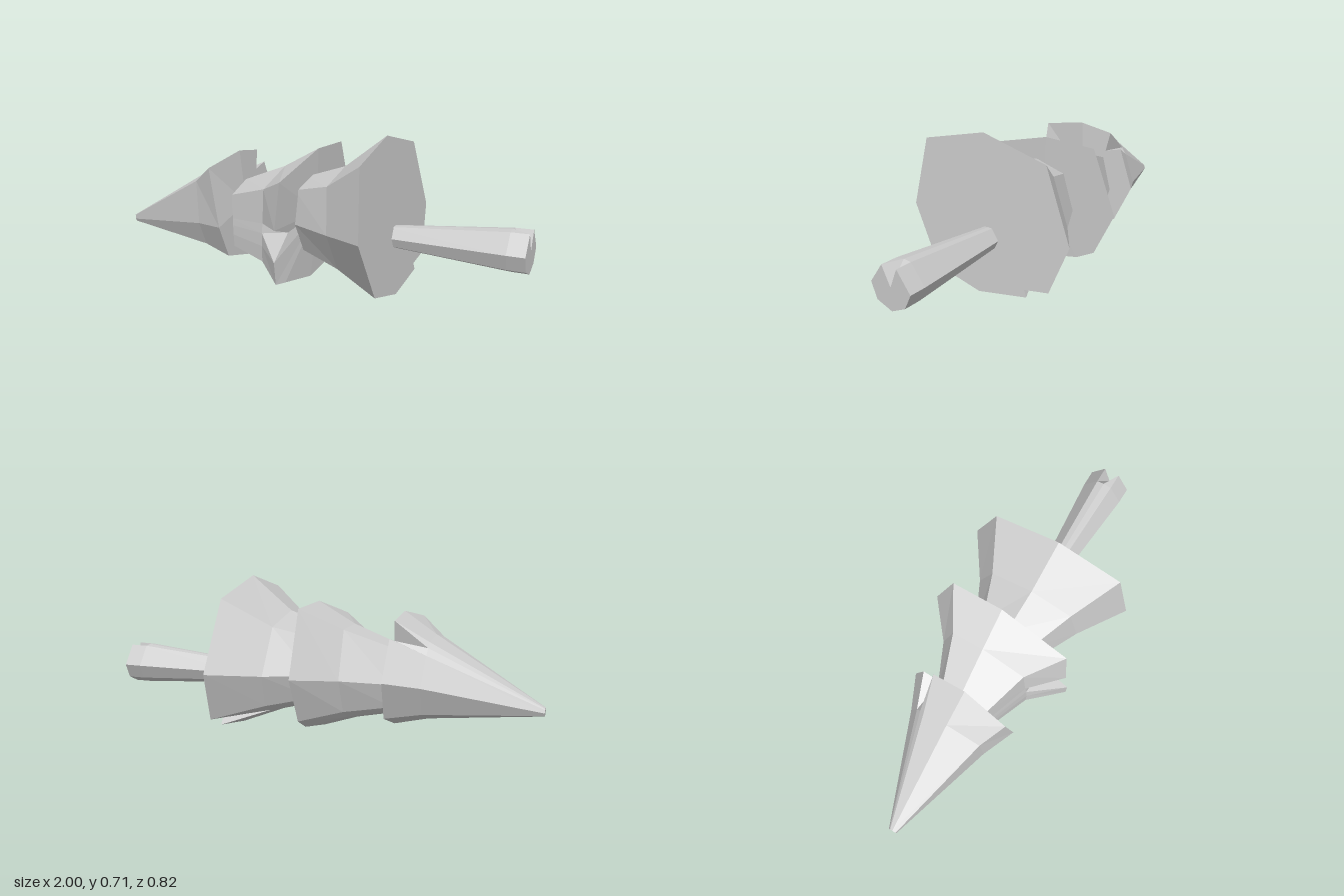
import * as THREE from 'three';

const material = new THREE.MeshStandardMaterial({ color: 0xcccccc, flatShading: true, side: THREE.DoubleSide });

// Lofts a rim outline along x. rim: [z, y, inset, dx] about a centre, clockwise seen from +x.
// ring: [x, centreY, centreZ, scale, extra z scale]; the last ring applies inset (cuts a notch)
// and dx (bends the rim). lean tilts the rings so that they sit further back near the ground.
function loft(name, rim, [rimY, rimZ], rings, lean = 0) {
  const n = rim.length;
  const points = [];
  const index = [];
  rings.forEach(([x, cy, cz, s, zs = 1], i) => {
    const end = i === rings.length - 1 ? 1 : 0;
    for (const [z, y, inset = 0, dx = 0] of rim) {
      const k = s * (1 - inset * end);
      const dy = (y - rimY) * k;
      points.push(x - lean * dy + dx * end, cy + dy, cz + (z - rimZ) * k * zs);
    }
  });
  for (let i = 0; i < rings.length - 1; i++) {
    for (let j = 0; j < n; j++) {
      const a = i * n + j, b = i * n + (j + 1) % n;
      index.push(a, a + n, b, b, a + n, b + n);
    }
  }
  // End caps
  const last = (rings.length - 1) * n;
  const first = points.length / 3;
  for (const [x, y, z] of [rings[0], rings[rings.length - 1]]) points.push(x, y, z);
  for (let j = 0; j < n; j++) {
    const k = (j + 1) % n;
    index.push(first, j, k, first + 1, last + k, last + j);
  }
  const indexed = new THREE.BufferGeometry();
  indexed.setAttribute('position', new THREE.Float32BufferAttribute(points, 3));
  indexed.setIndex(index);
  const geometry = indexed.toNonIndexed();
  geometry.computeVertexNormals();
  const mesh = new THREE.Mesh(geometry, material);
  mesh.name = name;
  return mesh;
}

export function createModel() {
  const group = new THREE.Group();
  group.name = 'fallenPineTree';

  // Pointed crown with a notch at its upper back
  group.add(loft('topBranches', [
    [0.02, 0.575], [-0.14, 0.55], [-0.17, 0.52, 0.3], [-0.2, 0.48], [-0.27, 0.3],
    [-0.19, 0.13], [0, 0.065], [0.19, 0.11], [0.25, 0.26], [0.24, 0.53, 0, -0.035],
  ], [0.32, 0], [
    [-1, 0.17, 0.01, 0.075], [-0.51, 0.29, 0, 0.74], [-0.36, 0.32, 0, 1],
  ], 0.07));

  // Middle skirt with a notch at the front
  group.add(loft('middleBranches', [
    [-0.03, 0.61], [-0.28, 0.6], [-0.39, 0.31], [-0.29, 0.11], [-0.2, 0.065], [0.04, 0.02, 0, -0.005],
    [0.27, 0.06, 0, -0.015], [0.34, 0.07, 0, -0.025], [0.345, 0.17, 0, -0.03],
    [0.34, 0.25, 0.35, -0.03], [0.33, 0.31, 0, -0.035], [0.31, 0.52, 0, -0.02],
  ], [0.315, -0.02], [
    [-0.365, 0.275, -0.01, 0.53, 0.72], [-0.16, 0.295, -0.02, 0.74, 0.83], [0.01, 0.315, -0.02, 1],
  ]));

  // Wide bottom skirt with a small notch underneath
  group.add(loft('bottomBranches', [
    [0.04, 0.71], [-0.28, 0.63], [-0.41, 0.31], [-0.32, 0.09],
    [-0.22, 0.042, 0.1], [-0.21, 0.04], [0.04, 0], [0.275, 0.06], [0.41, 0.325], [0.35, 0.635],
  ], [0.34, 0], [
    [-0.01, 0.305, 0, 0.49, 0.83], [0.19, 0.31, 0, 0.66, 0.98], [0.4, 0.34, 0, 1],
  ], 0.08));

  // Flared trunk with a wedge split out of its end
  group.add(loft('trunk', [
    [0, 0.36, 0.95], [-0.035, 0.355], [-0.1, 0.265], [-0.068, 0.2],
    [0, 0.17], [0.073, 0.2], [0.1, 0.27], [0.04, 0.355],
  ], [0.265, 0], [
    [0.38, 0.253, 0, 0.52], [0.92, 0.264, 0, 0.99], [1, 0.265, 0, 1],
  ]));

  return group;
}
